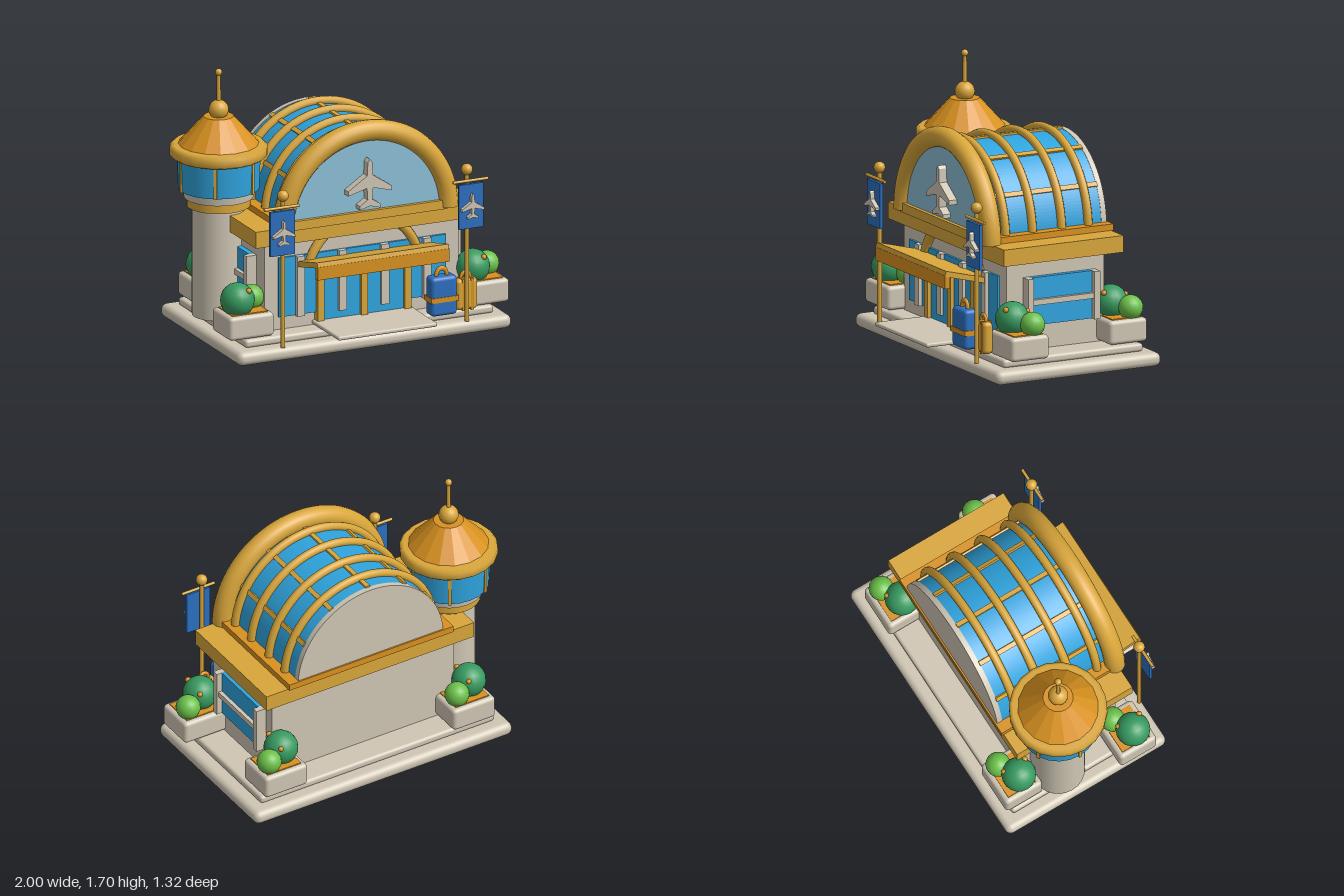
import * as THREE from 'three';
import { RoundedBoxGeometry } from 'three/addons/geometries/RoundedBoxGeometry.js';

const mat = (name, color, extra = {}) => {
  const m = new THREE.MeshStandardMaterial({ color, ...extra });
  m.name = name;
  return m;
};

export function createModel() {
  const gold = mat('gold', 0xd9a63a);
  const orange = mat('orange', 0xd8911f);
  const roofOrange = mat('roof orange', 0xd8911f, { flatShading: true });
  const stone = mat('stone', 0xcfc6b4);
  const glass = mat('blue glass', 0x2fa4de);
  const paleGlass = mat('pale glass', 0x8cbfd6);
  const royal = mat('royal blue', 0x2c6fc0);
  const darkGreen = mat('dark green', 0x379a60);
  const lightGreen = mat('light green', 0x6cc04a);

  const model = new THREE.Group();
  const CX = 0.045; // building centre line
  const add = (name, geo, material, x = 0, y = 0, z = 0, parent = model) => {
    const m = new THREE.Mesh(geo, material);
    m.name = name;
    m.position.set(x, y, z);
    parent.add(m);
    return m;
  };
  // boxes given by their extents
  const box = (name, material, x0, x1, y0, y1, z0, z1, parent) =>
    add(name, new THREE.BoxGeometry(x1 - x0, y1 - y0, z1 - z0), material,
      (x0 + x1) / 2, (y0 + y1) / 2, (z0 + z1) / 2, parent);
  const rbox = (name, material, x0, x1, y0, y1, z0, z1, r, parent) =>
    add(name, new RoundedBoxGeometry(x1 - x0, y1 - y0, z1 - z0, 3, r), material,
      (x0 + x1) / 2, (y0 + y1) / 2, (z0 + z1) / 2, parent);
  const cyl = (name, material, rTop, rBot, y0, y1, x, z, sides = 24, parent = model) =>
    add(name, new THREE.CylinderGeometry(rTop, rBot, y1 - y0, sides), material, x, (y0 + y1) / 2, z, parent);
  const ball = (name, material, r, x, y, z, parent = model) =>
    add(name, new THREE.SphereGeometry(r, 18, 12), material, x, y, z, parent);
  const halfDisc = (name, material, r, y, z0, z1) => {
    const s = new THREE.Shape();
    s.absarc(0, 0, r, 0, Math.PI, false);
    s.closePath();
    return add(name, new THREE.ExtrudeGeometry(s, { depth: z1 - z0, bevelEnabled: false, curveSegments: 40 }),
      material, CX, y, z0);
  };
  const airplane = (name, scale, x, y, z, depth) => {
    const half = [[0.015, 0.135], [0.02, 0.05], [0.148, -0.035], [0.148, -0.065], [0.021, -0.03],
      [0.016, -0.105], [0.07, -0.14], [0.07, -0.165]];
    const pts = [[0, 0.155], ...half, [0, -0.145], ...half.map(([a, b]) => [-a, b]).reverse()];
    const s = new THREE.Shape(pts.map(([a, b]) => new THREE.Vector2(a * scale, b * scale)));
    add(name, new THREE.ExtrudeGeometry(s, { depth, bevelEnabled: false }), stone, x, y, z);
  };

  // Base slabs and walkway
  rbox('baseSlab', stone, -0.88, 0.97, 0, 0.088, -0.66, 0.487, 0.04);
  rbox('upperStep', stone, -0.795, 0.885, 0.086, 0.138, -0.575, 0.40, 0.02);
  rbox('walkway', stone, -0.29, 0.38, 0.142, 0.168, 0.25, 0.66, 0.01);

  // Hall walls, cornice and ledge
  box('walls', stone, -0.61, 0.70, 0.13, 0.71, -0.40, 0.28);
  box('cornice', gold, -0.70, 0.79, 0.70, 0.805, -0.485, 0.345);
  box('roofLedge', orange, -0.545, 0.635, 0.803, 0.845, -0.50, 0.33);
  box('archSill', gold, -0.49, 0.58, 0.79, 0.848, 0.30, 0.375);

  // Barrel roof
  halfDisc('vaultGlass', glass, 0.52, 0.81, -0.455, 0.29);
  halfDisc('vaultBackWall', stone, 0.522, 0.81, -0.49, -0.454);
  halfDisc('frontPane', paleGlass, 0.54, 0.805, 0.29, 0.35);
  add('frontArch', new THREE.TorusGeometry(0.555, 0.065, 16, 48, Math.PI), gold, CX, 0.80, 0.335);
  for (const s of [-1, 1])
    add('archFoot', new THREE.CircleGeometry(0.065, 16), gold, CX + s * 0.555, 0.80, 0.335).rotation.x = Math.PI / 2;
  for (const z of [0.22, 0.033, -0.17, -0.355])
    add('roofRib', new THREE.TorusGeometry(0.535, 0.027, 10, 40, Math.PI), gold, CX, 0.81, z);
  for (let i = 1; i <= 5; i++) {
    const a = i * Math.PI / 6;
    const bar = add('roofPurlin', new THREE.BoxGeometry(0.025, 0.03, 0.73), gold,
      CX + 0.52 * Math.cos(a), 0.81 + 0.52 * Math.sin(a), -0.092);
    bar.rotation.z = a;
  }
  airplane('archEmblem', 1, CX, 1.035, 0.345, 0.058);

  // Front glazing and doors
  box('frontGlazing', glass, -0.52, 0.61, 0.22, 0.60, 0.27, 0.295);
  box('doorGlass', glass, -0.26, 0.35, 0.165, 0.53, 0.27, 0.302);
  for (const dx of [-0.4275, -0.1425, 0.1425, 0.4275])
    box('glazingMullion', stone, CX + dx - 0.026, CX + dx + 0.026, 0.215, 0.60, 0.27, 0.32);
  for (const dx of [-0.295, 0, 0.295])
    box('doorPost', gold, CX + dx - 0.022, CX + dx + 0.022, 0.165, 0.55, 0.27, 0.325);

  // Entrance canopy with its arched support
  const sup = add('canopyArch', new THREE.TorusGeometry(0.385, 0.03, 10, 32, Math.PI - 0.6), gold, CX, 0.42, 0.298);
  sup.rotation.z = 0.3;
  const canopy = add('canopyRoof', new THREE.BoxGeometry(0.89, 0.035, 0.31), gold, CX, 0.583, 0.44);
  canopy.rotation.x = -0.25;
  box('canopyFascia', orange, CX - 0.445, CX + 0.445, 0.527, 0.61, 0.56, 0.595);

  // Side windows, mirrored
  for (const s of [-1, 1]) {
    const win = new THREE.Group();
    win.name = 'sideWindow';
    win.position.x = CX;
    model.add(win);
    const part = (name, m, a, b, y0, y1, z0, z1) =>
      box(name, m, Math.min(s * a, s * b), Math.max(s * a, s * b), y0, y1, z0, z1, win);
    part('sidePane', glass, 0.64, 0.69, 0.295, 0.595, -0.30, 0.13);
    part('sideFrame', stone, 0.64, 0.725, 0.295, 0.595, 0.125, 0.165);
    part('sideFrame', stone, 0.64, 0.725, 0.295, 0.595, -0.335, -0.295);
    part('sideRail', stone, 0.64, 0.715, 0.425, 0.46, -0.30, 0.13);
  }

  // Control tower
  const TX = -0.70, TZ = -0.19;
  cyl('towerShaft', stone, 0.165, 0.165, 0.13, 0.84, TX, TZ);
  cyl('towerCollar', gold, 0.197, 0.197, 0.83, 0.888, TX, TZ);
  cyl('towerNeck', stone, 0.222, 0.215, 0.886, 0.945, TX, TZ);
  cyl('towerGlass', glass, 0.258, 0.25, 0.942, 1.16, TX, TZ);
  for (let i = 0; i < 6; i++) {
    const a = i * Math.PI / 3;
    add('towerMullion', new THREE.BoxGeometry(0.02, 0.21, 0.02), gold,
      TX + 0.25 * Math.cos(a), 1.045, TZ + 0.25 * Math.sin(a)).rotation.y = -a;
  }
  const rim = [[0, 1.145], [0.285, 1.145], [0.302, 1.16], [0.302, 1.205], [0.28, 1.227], [0, 1.227]];
  add('towerRim', new THREE.LatheGeometry(rim.map(p => new THREE.Vector2(...p)), 20), gold, TX, 0, TZ);
  cyl('towerRoof', roofOrange, 0.093, 0.25, 1.225, 1.40, TX, TZ, 16);
  ball('towerBall', gold, 0.062, TX, 1.44, TZ);
  cyl('mast', gold, 0.012, 0.014, 1.48, 1.68, TX, TZ, 12);
  ball('mastTip', gold, 0.022, TX, 1.68, TZ);

  // Planters with bushes
  for (const [x, z] of [[-0.75, 0.268], [0.84, 0.268], [-0.63, -0.48], [0.72, -0.48]]) {
    const p = new THREE.Group();
    p.name = 'planter';
    p.position.set(x, 0, z);
    model.add(p);
    rbox('planterBox', stone, -0.152, 0.152, 0.143, 0.293, -0.132, 0.132, 0.025, p);
    box('planterSoil', orange, -0.12, 0.12, 0.28, 0.30, -0.10, 0.10, p);
    ball('largeBush', darkGreen, 0.107, -0.048, 0.37, 0.02, p);
    ball('smallBush', lightGreen, 0.077, 0.08, 0.352, -0.05, p);
    ball('blossom', orange, 0.018, -0.005, 0.44, 0.09, p);
    ball('blossom', orange, 0.016, 0.0, 0.42, -0.058, p);
  }

  // Flagpoles with hanging banners
  for (const s of [-1, 1]) {
    const x = CX + s * 0.622, bx = CX + s * 0.638;
    cyl('flagpole', gold, 0.014, 0.014, 0.085, 1.04, x, 0.47, 12);
    ball('flagpoleBall', gold, 0.036, x, 1.06, 0.47);
    add('bannerBar', new THREE.CylinderGeometry(0.01, 0.01, 0.235, 10), gold, bx, 0.99, 0.487).rotation.z = Math.PI / 2;
    box('banner', royal, bx - 0.083, bx + 0.083, 0.688, 0.972, 0.482, 0.502);
    airplane('bannerEmblem', 0.5, bx, 0.838, 0.50, 0.03);
  }

  // Luggage
  rbox('blueSuitcase', royal, 0.412, 0.59, 0.15, 0.40, 0.41, 0.508, 0.025);
  box('blueSuitcaseBand', orange, 0.407, 0.595, 0.24, 0.272, 0.405, 0.513);
  add('blueSuitcaseHandle', new THREE.TorusGeometry(0.036, 0.013, 10, 20, Math.PI), orange, 0.50, 0.40, 0.46).scale.y = 1.25;
  rbox('goldSuitcase', gold, 0.606, 0.75, 0.15, 0.35, 0.395, 0.46, 0.025);
  for (const x of [0.65, 0.708])
    box('goldSuitcaseStrap', orange, x - 0.009, x + 0.009, 0.15, 0.353, 0.392, 0.464);
  add('goldSuitcaseHandle', new THREE.TorusGeometry(0.032, 0.011, 10, 20, Math.PI), orange, 0.678, 0.35, 0.427).scale.y = 1.2;

  return model;
}
